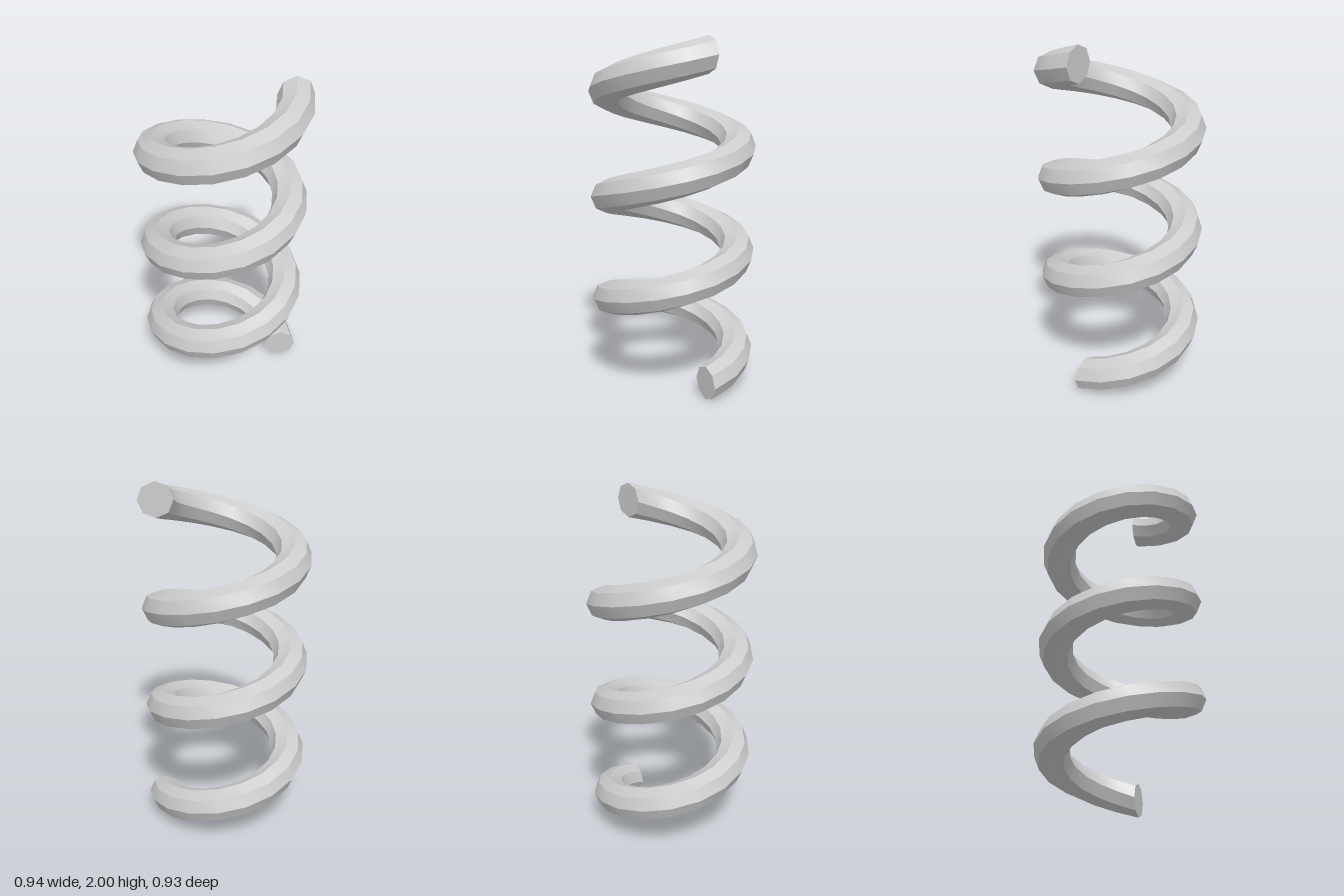
import * as THREE from 'three';
import { toCreasedNormals } from 'three/addons/utils/BufferGeometryUtils.js';

const TURNS = 3;
const STEPS = 18; // segments per turn
const SIDES = 8; // sides of the wire
const COIL_RADIUS = 0.375;
const WIRE_RADIUS = 0.0975;
const RISE = 2 - 2 * WIRE_RADIUS;

// Sweeps an octagon, kept in the vertical radial plane, along a helix
function coilGeometry() {
  const positions = [];
  const index = [];
  const rings = TURNS * STEPS;

  for (let i = 0; i <= rings; i++) {
    const turn = (i / STEPS) * Math.PI * 2;
    const height = WIRE_RADIUS + (RISE * i) / rings;
    for (let j = 0; j < SIDES; j++) {
      const a = (j / SIDES) * Math.PI * 2;
      const r = COIL_RADIUS + WIRE_RADIUS * Math.cos(a);
      positions.push(r * Math.cos(turn), height + WIRE_RADIUS * Math.sin(a), -r * Math.sin(turn));
    }
  }

  // wire surface
  for (let i = 0; i < rings; i++) {
    for (let j = 0; j < SIDES; j++) {
      const k = (j + 1) % SIDES;
      const a = i * SIDES + j;
      const b = i * SIDES + k;
      index.push(a, a + SIDES, b, b, a + SIDES, b + SIDES);
    }
  }

  // flat cut ends
  const last = rings * SIDES;
  for (let j = 1; j < SIDES - 1; j++) {
    index.push(0, j, j + 1);
    index.push(last, last + j + 1, last + j);
  }

  const geometry = new THREE.BufferGeometry();
  geometry.setAttribute('position', new THREE.Float32BufferAttribute(positions, 3));
  geometry.setIndex(index);
  // smooth along the wire, sharp between its sides
  return toCreasedNormals(geometry, 0.55);
}

export function createModel() {
  const group = new THREE.Group();
  group.name = 'spring';
  const coil = new THREE.Mesh(coilGeometry(), new THREE.MeshStandardMaterial({ color: 0xcccccc }));
  coil.name = 'coil';
  group.add(coil);
  return group;
}
